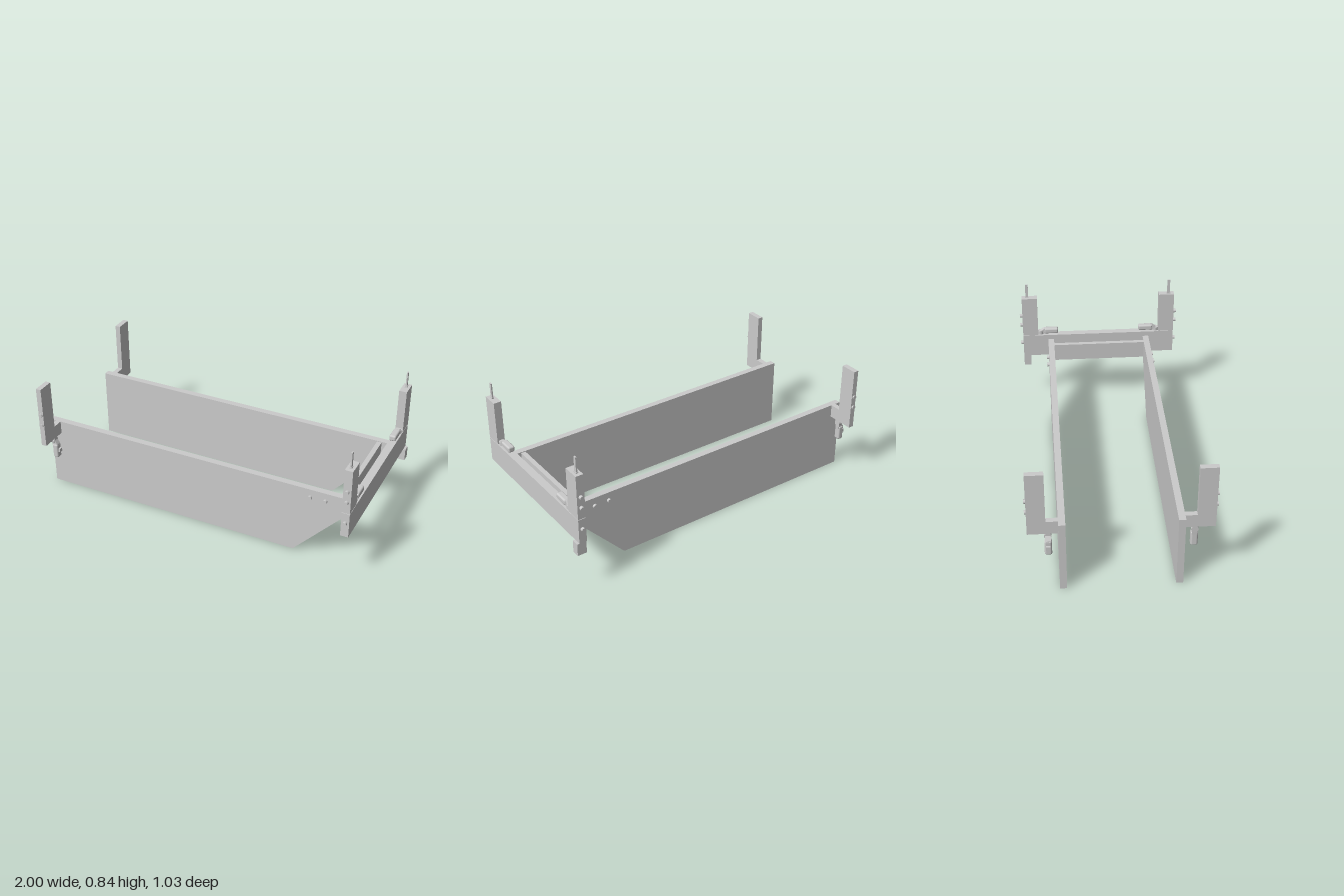
import * as THREE from 'three';
import { RoundedBoxGeometry } from 'three/addons/geometries/RoundedBoxGeometry.js';

const grey = new THREE.MeshStandardMaterial({ color: 0xcccccc });

function add(parent, name, geometry, x = 0, y = 0, z = 0) {
  const mesh = new THREE.Mesh(geometry, grey);
  mesh.name = name;
  mesh.position.set(x, y, z);
  parent.add(mesh);
  return mesh;
}

// Box given by its extents along each axis
function block(parent, name, [x0, x1], [y0, y1], [z0, z1]) {
  const geometry = new THREE.BoxGeometry(x1 - x0, y1 - y0, Math.abs(z1 - z0));
  return add(parent, name, geometry, (x0 + x1) / 2, (y0 + y1) / 2, (z0 + z1) / 2);
}

// Bolt head standing out of a face at z, towards side s
function bolt(parent, x, y, z, s, height, radius = 0.012) {
  const geometry = new THREE.CylinderGeometry(radius, radius, height, 20).rotateX(Math.PI / 2);
  add(parent, 'boltHead', geometry, x, y, s * (z + height / 2));
}

// Hinged latch hanging down from its mounting point, handle offset to +x
function createLatch(withKnob) {
  const latch = new THREE.Group();
  latch.name = 'latch';
  add(latch, 'latchMount', new THREE.BoxGeometry(0.022, 0.024, 0.026), 0, -0.012, 0);
  add(latch, 'latchHinge', new THREE.CylinderGeometry(0.02, 0.02, 0.022, 24).rotateZ(Math.PI / 2), 0, -0.022, 0);
  // Wedge-shaped neck joining hinge and handle
  const neck = new THREE.Shape();
  neck.moveTo(-0.008, -0.02);
  neck.lineTo(-0.007, -0.06);
  neck.lineTo(0.027, -0.06);
  neck.lineTo(0.027, -0.045);
  neck.lineTo(0.011, -0.02);
  const neckGeometry = new THREE.ExtrudeGeometry(neck, { depth: 0.03, bevelEnabled: false });
  add(latch, 'latchNeck', neckGeometry, 0, 0, -0.015);
  add(latch, 'latchHandle', new RoundedBoxGeometry(0.036, 0.092, 0.04, 4, 0.01), 0.011, -0.091, 0);
  if (withKnob) {
    add(latch, 'latchKnob', new THREE.BoxGeometry(0.016, 0.022, 0.024), 0.032, -0.085, 0);
  }
  return latch;
}

export function createModel() {
  const model = new THREE.Group();
  model.name = 'bedFrame';

  // Side panel outline with a slanted end
  const outline = new THREE.Shape();
  outline.moveTo(-1, 0);
  outline.lineTo(0.605, 0);
  outline.lineTo(0.936, 0.36);
  outline.lineTo(0.936, 0.44);
  outline.lineTo(-1, 0.44);
  const panelGeometry = new THREE.ExtrudeGeometry(outline, { depth: 0.038, bevelEnabled: false });

  // Cross beam, inner cross board and the single stop block under one end
  block(model, 'crossBeam', [0.936, 0.982], [0.322, 0.472], [-0.5, 0.5]);
  block(model, 'innerCrossBoard', [0.862, 0.89], [0.322, 0.435], [-0.297, 0.297]);
  block(model, 'stopBlock', [0.94, 0.996], [0.247, 0.322], [-0.5, -0.454]);

  for (const s of [1, -1]) {
    add(model, 'sidePanel', panelGeometry, 0, 0, s * 0.316 - 0.019);
    for (const x of [0.695, 0.785]) bolt(model, x, 0.39, 0.335, s, 0.015);

    // Upright on the cross beam, with a thin flat pin on top
    const upright = new THREE.Group();
    upright.name = 'beamUpright';
    block(upright, 'uprightPost', [0.936, 0.982], [0.476, 0.745], [s * 0.4, s * 0.5]);
    block(upright, 'uprightSeam', [0.94, 0.978], [0.472, 0.476], [s * 0.404, s * 0.496]);
    block(upright, 'pinCollar', [0.952, 0.966], [0.745, 0.751], [s * 0.453, s * 0.477]);
    block(upright, 'topPin', [0.955, 0.963], [0.751, 0.84], [s * 0.456, s * 0.474]);
    for (const y of [0.41, 0.545, 0.612]) bolt(upright, 0.959, y, 0.5, s, 0.017);
    model.add(upright);

    // L-shaped post at the far end: extruded along x
    const post = new THREE.Shape();
    post.moveTo(0.335, 0.36);
    post.lineTo(0.5, 0.36);
    post.lineTo(0.5, 0.745);
    post.lineTo(0.4, 0.745);
    post.lineTo(0.4, 0.44);
    post.lineTo(0.335, 0.44);
    const postGeometry = new THREE.ExtrudeGeometry(post, { depth: 0.032, bevelEnabled: false });
    const bracket = add(model, 'bracketPost', postGeometry, -0.949 - s * 0.016, 0, 0);
    bracket.rotation.y = -s * Math.PI / 2;
    bracket.position.x = -0.949 + s * 0.016;
    for (const y of [0.5, 0.57]) bolt(model, -0.949, y, 0.5, s, 0.009);

    // Latch hanging under the bracket, turned half round on the other side
    const lower = createLatch(true);
    lower.position.set(-0.949, 0.36, s * 0.39);
    if (s < 0) lower.rotation.y = Math.PI;
    model.add(lower);

    // Latch lying on the beam, pointing inwards from the upright
    const upper = createLatch(false);
    upper.quaternion.setFromRotationMatrix(new THREE.Matrix4().makeBasis(
      new THREE.Vector3(0, 1, 0), new THREE.Vector3(0, 0, s), new THREE.Vector3(s, 0, 0)));
    upper.position.set(0.959, 0.487, s * 0.405);
    model.add(upper);
  }
  return model;
}
